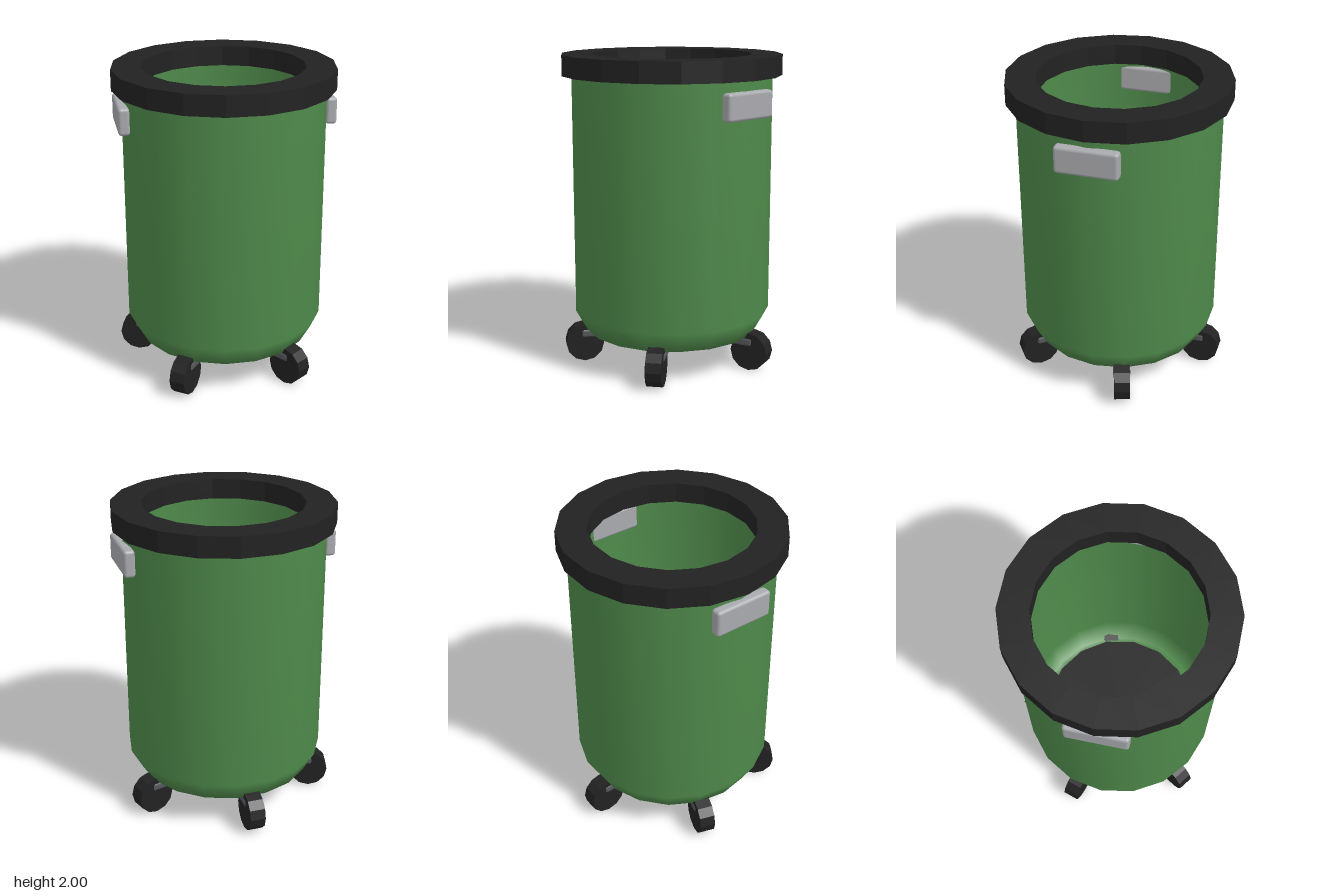
import * as THREE from 'three';
import { RoundedBoxGeometry } from 'three/addons/geometries/RoundedBoxGeometry.js';

const material = (name, color, extra = {}) => {
  const m = new THREE.MeshStandardMaterial({ color, ...extra });
  m.name = name;
  return m;
};

export function createModel() {
  const root = new THREE.Group();
  root.name = 'wheeledBin';
  const green = material('green', 0x4f8a4b, { side: THREE.DoubleSide });
  const black = material('black', 0x222222, { flatShading: true });
  const steel = material('steelGrey', 0x55585c);
  const silver = material('silver', 0xa9aaae);

  const add = (parent, name, geometry, mat, x = 0, y = 0, z = 0) => {
    const mesh = new THREE.Mesh(geometry, mat);
    mesh.name = name;
    mesh.position.set(x, y, z);
    parent.add(mesh);
    return mesh;
  };
  const lathe = (points) => new THREE.LatheGeometry(
    points.map(([r, y]) => new THREE.Vector2(r, y)), 18).rotateY(Math.PI / 2);

  // Drum: turned-in foot, sloped shoulder, straight wall
  add(root, 'drum', lathe([[0.49, 0.28], [0.565, 0.215], [0.64, 0.35], [0.64, 1.9]]), green);
  add(root, 'floor', new THREE.CylinderGeometry(0.51, 0.51, 0.02, 16), black, 0, 0.285, 0);

  // Thick rim ring
  add(root, 'rim', lathe([[0.51, 1.87], [0.7, 1.87], [0.7, 2], [0.51, 2], [0.51, 1.87]]), black);

  // Side handles
  for (const side of [-1, 1]) {
    add(root, side > 0 ? 'leftHandle' : 'rightHandle',
      new RoundedBoxGeometry(0.07, 0.17, 0.39, 3, 0.02), silver, side * 0.645, 1.722, 0);
  }

  // Five-armed base with a wheel at the end of each arm
  const base = new THREE.Group();
  base.name = 'base';
  root.add(base);
  add(base, 'hub', new THREE.CylinderGeometry(0.18, 0.18, 0.07, 10), steel, 0, 0.185, 0);
  add(base, 'hubPost', new THREE.CylinderGeometry(0.1, 0.1, 0.08, 10), steel, 0, 0.245, 0);
  for (let i = 0; i < 5; i++) {
    const leg = new THREE.Group();
    leg.name = 'leg' + (i + 1);
    leg.rotation.y = Math.PI / 2 + i * Math.PI * 2 / 5;
    base.add(leg);
    add(leg, 'arm', new RoundedBoxGeometry(0.46, 0.06, 0.11, 3, 0.02), steel, 0.375, 0.186, 0);
    add(leg, 'wheel', new THREE.CylinderGeometry(0.124, 0.124, 0.1, 12).rotateX(Math.PI / 2),
      black, 0.58, 0.124, 0);
  }

  root.position.z = 0.005;
  const model = new THREE.Group();
  model.name = 'model';
  model.add(root);
  return model;
}
